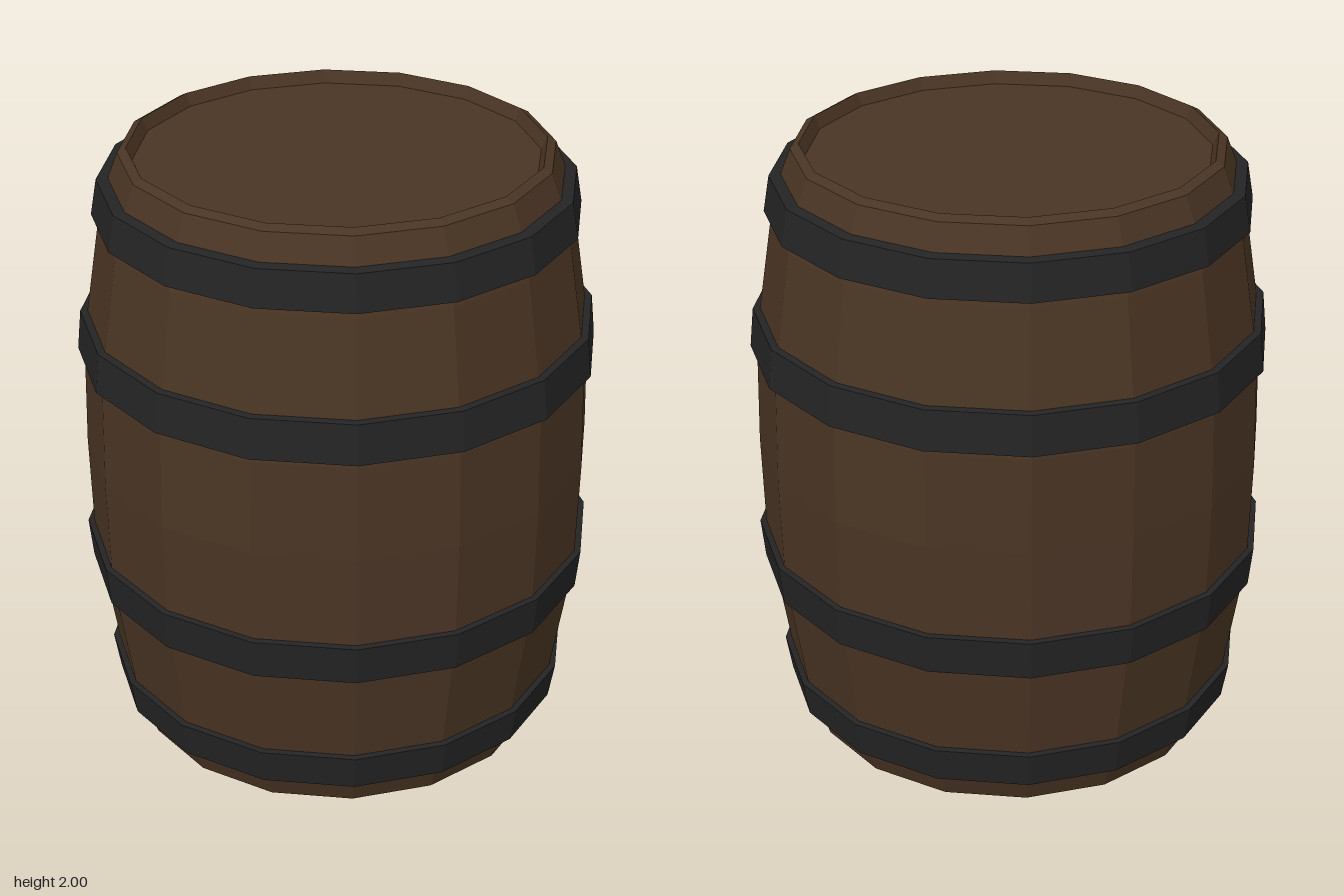
import * as THREE from 'three';

const SIDES = 16;

// Faceted solid of revolution from [radius, y] points, bottom to top on the outside
function turned(name, points, material) {
  const profile = points.map(([r, y]) => new THREE.Vector2(r, y));
  const geometry = new THREE.LatheGeometry(profile, SIDES).toNonIndexed();
  geometry.computeVertexNormals();
  const mesh = new THREE.Mesh(geometry, material);
  mesh.name = name;
  return mesh;
}

export function createModel() {
  const wood = new THREE.MeshStandardMaterial({ color: 0x4a3524 });
  wood.name = 'wood';
  const darkWood = new THREE.MeshStandardMaterial({ color: 0x38261c });
  darkWood.name = 'dark wood';
  const iron = new THREE.MeshStandardMaterial({ color: 0x242424 });
  iron.name = 'dark iron';

  const barrel = new THREE.Group();
  barrel.name = 'barrel';

  // Bulging staves with chamfered ends and a shallow rim at top and bottom
  barrel.add(turned('staves', [
    [0.47, 0.03], [0.57, 0], [0.6, 0], [0.67, 0.02], [0.705, 0.12], [0.74, 0.24],
    [0.79, 0.56], [0.803, 0.69], [0.81, 1], [0.803, 1.31], [0.79, 1.44],
    [0.74, 1.76], [0.705, 1.9], [0.672, 1.985], [0.645, 2], [0.627, 1.96],
  ], wood));

  // Recessed end boards
  barrel.add(turned('lid', [[0.63, 1.96], [0, 1.96]], wood));
  barrel.add(turned('bottomBoard', [[0, 0.03], [0.47, 0.03]], darkWood));

  // Iron hoops: y and radius of the lower edge, then of the upper edge
  const hoops = [
    [0.12, 0.74, 0.24, 0.76],
    [0.565, 0.81, 0.695, 0.823],
    [1.33, 0.823, 1.458, 0.81],
    [1.785, 0.76, 1.9, 0.74],
  ];
  for (const [y0, r0, y1, r1] of hoops) {
    barrel.add(turned('hoop', [
      [r0 - 0.05, y0 + 0.005], [r0, y0], [r1, y1], [r1 - 0.05, y1 + 0.005],
    ], iron));
  }

  return barrel;
}
